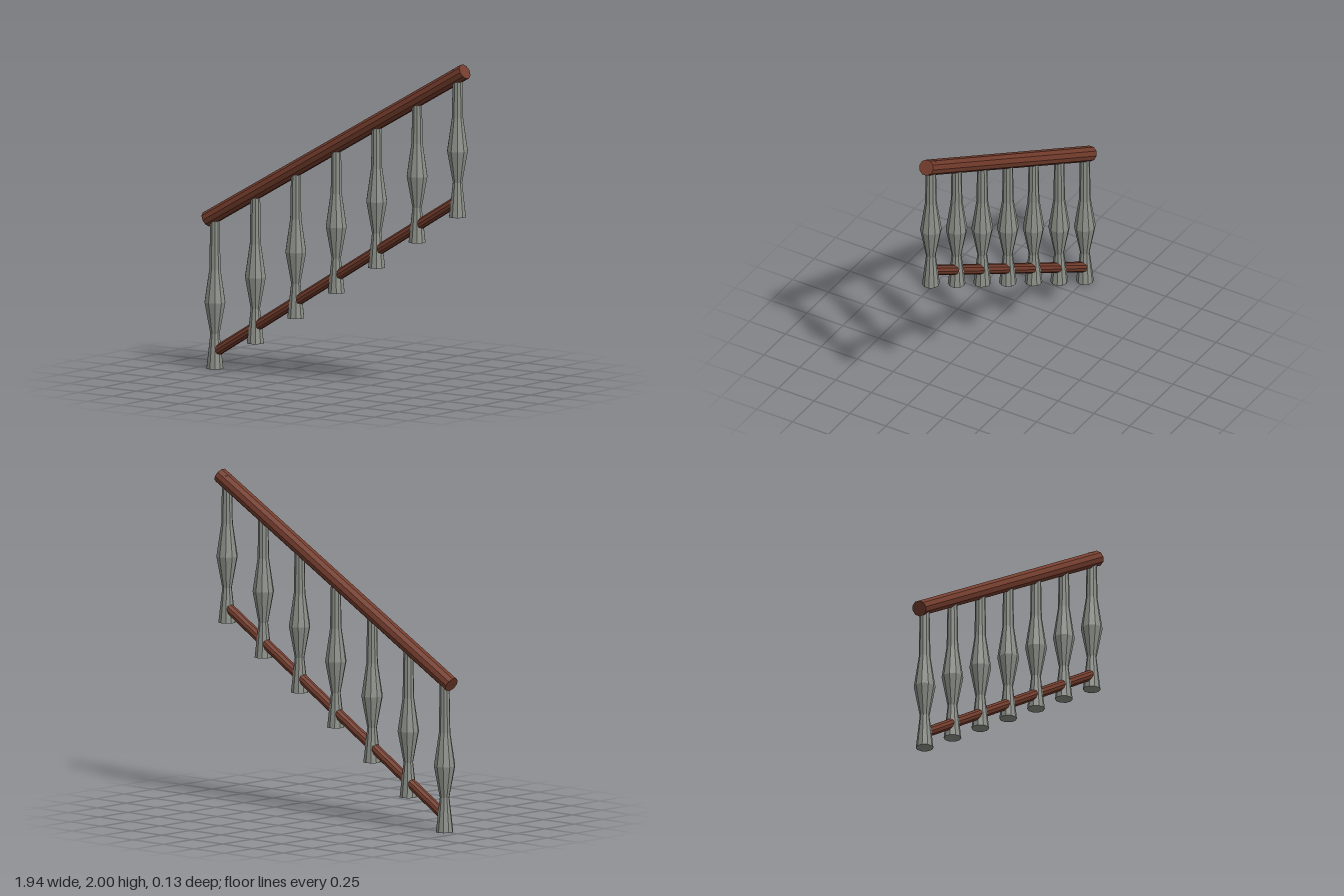
import * as THREE from 'three';

const SIDES = 10;
const COUNT = 7;
const FIRST_X = -0.893, STEP_X = 0.2977, STEP_Y = 0.1792;

export function createModel() {
  const group = new THREE.Group();
  group.name = 'stairRailing';

  const stone = new THREE.MeshStandardMaterial({ color: 0x8c8f88, flatShading: true });
  stone.name = 'grey stone';
  const wood = new THREE.MeshStandardMaterial({ color: 0x743d2d, flatShading: true });
  wood.name = 'red-brown wood';

  // Turned baluster: flared foot, narrow neck, bulge and slim top
  const profile = [
    [0, 0], [0.053, 0], [0.029, 0.21], [0.065, 0.4],
    [0.035, 0.6], [0.03, 0.892], [0, 0.892],
  ].map(([r, y]) => new THREE.Vector2(r, y));
  const balusterGeometry = new THREE.LatheGeometry(profile, SIDES);

  // Balusters climb one step at a time
  for (let i = 0; i < COUNT; i++) {
    const baluster = new THREE.Mesh(balusterGeometry, stone);
    baluster.name = `baluster${i + 1}`;
    baluster.position.set(FIRST_X + i * STEP_X, i * STEP_Y, 0);
    group.add(baluster);
  }

  // Sloping round bar between two points in the plane z = 0
  function addRail(name, radius, x0, y0, x1, y1) {
    const dx = x1 - x0, dy = y1 - y0;
    const rail = new THREE.Mesh(
      new THREE.CylinderGeometry(radius, radius, Math.hypot(dx, dy), SIDES), wood);
    rail.name = name;
    rail.position.set((x0 + x1) / 2, (y0 + y1) / 2, 0);
    rail.rotation.z = Math.atan2(dy, dx) - Math.PI / 2;
    group.add(rail);
  }

  addRail('handrail', 0.048, -0.95, 0.896, 0.947, 1.959);
  addRail('bottomRail', 0.032, FIRST_X, 0.098, -FIRST_X, 0.098 + STEP_Y * (COUNT - 1));

  return group;
}
